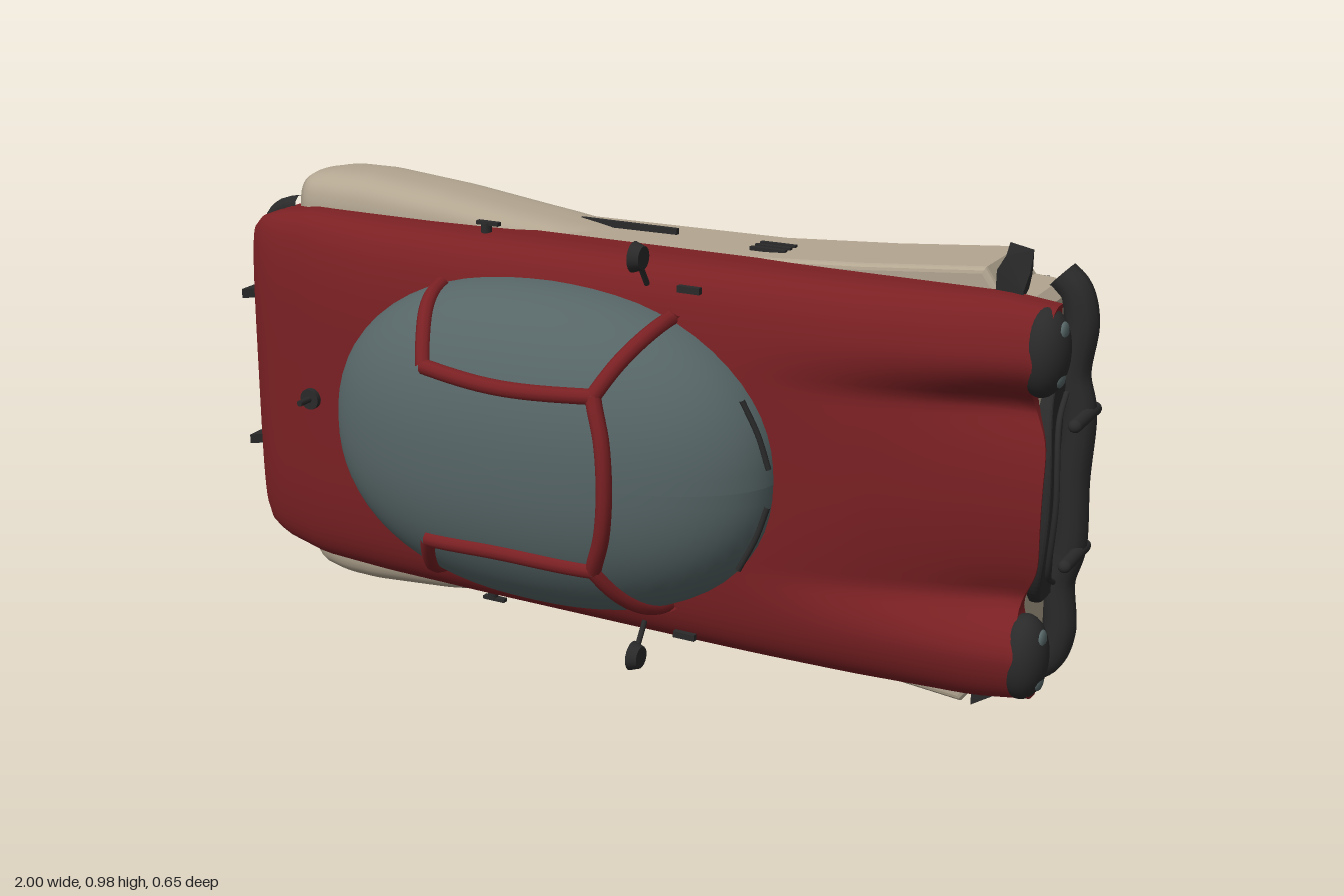
import * as THREE from 'three';

// The car lies with its nose to +x, its roof to +z and its width along y.
const mat = (name, color) => Object.assign(new THREE.MeshStandardMaterial({ color }), { name });
const RED = mat('red paint', 0x7a2023), BEIGE = mat('beige paint', 0xb3a691);
const DARK = mat('dark trim', 0x2a2a2a), GLASS = mat('tinted glass', 0x566566);
const V = (x, y, z) => new THREE.Vector3(x, y, z);

export function createModel() {
  const car = new THREE.Group();
  car.name = 'car';
  car.position.y = 0.49;
  const sides = [1, -1];

  const add = (name, geo, m, pos = [0, 0, 0], scale = [1, 1, 1]) => {
    const o = new THREE.Mesh(geo, m);
    o.name = name;
    o.position.set(...pos);
    o.scale.set(...scale);
    car.add(o);
  };
  // piecewise interpolation in a short table of [x, value]
  const at = (table, x) => {
    for (let i = 1; i < table.length; i++) {
      const [a, p] = table[i - 1], [b, q] = table[i];
      if (x <= b) return p + (q - p) * Math.max(0, (x - a) / (b - a));
    }
    return table[table.length - 1][1];
  };
  const smooth = THREE.MathUtils.smoothstep;
  const shape2 = pts => new THREE.Shape(pts.map(p => new THREE.Vector2(...p)));
  // surface through rows of points
  const loft = rows => {
    const n = rows[0].length, idx = [];
    for (let i = 0; i < rows.length - 1; i++) for (let j = 0; j < n - 1; j++) {
      const a = i * n + j, b = a + n;
      idx.push(a, b, a + 1, b, b + 1, a + 1);
    }
    const g = new THREE.BufferGeometry().setFromPoints(rows.flat());
    g.setIndex(idx);
    g.computeVertexNormals();
    return g;
  };
  const tube = (pts, r, seg = 40) => new THREE.TubeGeometry(new THREE.CatmullRomCurve3(pts.map(p => V(...p))), seg, r, 10);
  // plan outline given for +y, mirrored and extruded upwards
  const planBlock = (half, z0, z1, bevel) => {
    const g = new THREE.ExtrudeGeometry(shape2([...half, ...half.map(([x, y]) => [x, -y]).reverse()]), {
      depth: z1 - z0 - 2 * bevel, bevelEnabled: true, bevelSize: bevel, bevelThickness: bevel, bevelSegments: 3,
    });
    return g.translate(0, 0, z0 + bevel);
  };

  // upper body shell with fender humps and a sunken hood
  const width = [[-0.95, 0.35], [-0.93, 0.372], [-0.87, 0.395], [-0.75, 0.415], [0.3, 0.418], [0.85, 0.418], [0.96, 0.405]];
  const height = [[-0.95, -0.03], [-0.935, -0.005], [-0.87, 0.035], [-0.72, 0.075], [-0.55, 0.1], [-0.3, 0.108], [0.1, 0.108],
    [0.4, 0.103], [0.6, 0.093], [0.8, 0.065], [0.9, 0.047], [0.96, 0.035]];
  const BASE = -0.063;
  const top = (x, w) => {
    const T = at(height, x), k = smooth(x, 0.32, 0.98);
    const a = Math.abs(w);
    const hood = T - 0.05 - 0.045 * (a / 0.23) ** 2;
    const fender = T - 0.07 * Math.min(1.6, ((a - 0.315) / 0.1) ** 2) * (a < 0.315 ? 1 : 0.2);
    const nose = Math.log(Math.exp(hood * 80) + Math.exp(fender * 80)) / 80;
    return Math.max(T + (nose - T) * k, BASE + 0.005);
  };
  const shell = [];
  for (let i = 0; i <= 60; i++) {
    const x = -0.95 + 1.91 * i / 60, W = at(width, x), row = [];
    for (let j = 0; j <= 72; j++) {
      const f = Math.sin((j / 36 - 1) * Math.PI / 2);
      const e = Math.max(0, 1 - f ** 4) ** 0.25;
      // the nose is set back between grille and headlights
      const back = 0.035 * Math.exp(-(((Math.abs(f * W) - 0.215) / 0.06) ** 2)) * smooth(x, 0.7, 0.96);
      row.push(V(x - back, f * W, BASE + (top(x, f * W) - BASE) * e));
    }
    shell.push(row);
  }
  const flat = row => row.map(p => V(p.x, p.y, BASE));
  add('upperBody', loft(shell), RED);
  add('noseFace', loft([shell[60], flat(shell[60])]), RED);
  add('tailFace', loft([flat(shell[0]), shell[0]]), RED);

  // lower body, tail and floor
  add('lowerBody', planBlock([[-0.8, 0.395], [0.3, 0.405], [0.55, 0.422], [0.8, 0.445], [0.835, 0.395], [0.89, 0.39], [0.905, 0.375], [0.915, 0.2], [0.92, 0.05]],
    -0.27, -0.055, 0.012), BEIGE);
  add('tail', planBlock([[-0.78, 0.385], [-0.86, 0.372], [-0.89, 0.355], [-0.905, 0.32]], -0.28, -0.15, 0.015), RED);
  add('tailUpper', planBlock([[-0.78, 0.39], [-0.87, 0.378], [-0.92, 0.355], [-0.935, 0.33]], -0.18, -0.05, 0.015), RED);
  add('floor', new THREE.BoxGeometry(1.66, 0.8, 0.012), DARK, [0.035, 0, -0.272]);

  // swelling rear fender
  const fTop = [[-0.855, -0.13], [-0.84, -0.075], [-0.8, -0.045], [-0.72, -0.03], [-0.45, -0.028], [-0.25, -0.038], [-0.15, -0.06], [-0.1, -0.09], [-0.06, -0.16]];
  const fBot = [[-0.855, -0.17], [-0.83, -0.235], [-0.77, -0.268], [-0.06, -0.27]];
  const fOut = [[-0.855, 0.435], [-0.83, 0.475], [-0.75, 0.489], [-0.65, 0.49], [-0.45, 0.472], [-0.2, 0.436], [-0.06, 0.412]];
  const fRows = [];
  for (let i = 0; i <= 40; i++) {
    const x = -0.855 + 0.795 * i / 40, a = at(fTop, x), b = at(fBot, x), out = at(fOut, x), row = [];
    for (let j = 0; j <= 20; j++) {
      const t = Math.PI * j / 20, c = Math.cos(t);
      row.push(V(x, 0.34 + (out - 0.34) * Math.max(0, Math.sin(t)) ** (c > 0 ? 0.36 : 0.6), (a + b) / 2 + (a - b) / 2 * Math.sign(c) * Math.abs(c) ** 0.7));
    }
    fRows.push(row);
  }
  fRows.unshift(fRows[0].map(p => V(p.x, 0.34, p.z)));
  const fender = loft(fRows);

  // glass dome
  const domeZ = (x, w) => 0.08 + 0.245 * Math.sqrt(Math.max(0, 1 - Math.abs((x + 0.08) / 0.525) ** 2.3 - Math.abs(w / 0.352) ** 2.2));
  const dome = [];
  for (let i = 0; i <= 20; i++) {
    const r = Math.sin(i / 20 * Math.PI / 2), row = [];
    for (let j = 0; j <= 64; j++) {
      const p = j / 64 * Math.PI * 2, c = Math.cos(p), s = Math.sin(p);
      const k = r * (Math.abs(c) ** 2.3 + Math.abs(s) ** 2.2) ** (-1 / 2.25);
      const x = -0.08 + 0.525 * k * c, w = 0.352 * k * s;
      row.push(V(x, w, domeZ(x, w)));
    }
    dome.push(row);
  }
  add('glassDome', loft(dome), GLASS);

  // window frames follow the dome
  const onDome = pts => {
    const c = new THREE.CatmullRomCurve3(pts.map(([x, w]) => V(x, w, 0)));
    return tube(c.getPoints(14).map(p => [p.x, p.y, domeZ(p.x, p.y)]), 0.017);
  };
  add('windshieldFrame', onDome([[0.13, -0.185], [0.16, -0.1], [0.17, 0], [0.16, 0.1], [0.13, 0.185]]), RED);

  // dark trim band on the front fender corner, tapering toward the nose
  const band = new THREE.ExtrudeGeometry(
    shape2([[0.785, -0.262], [0.835, -0.262], [0.865, -0.15], [0.885, -0.053], [0.83, -0.053], [0.815, -0.15]]),
    { depth: 1, bevelEnabled: false }).rotateX(Math.PI / 2);
  const bp = band.attributes.position;
  for (let i = 0; i < bp.count; i++) {
    const x = bp.getX(i);
    bp.setY(i, bp.getY(i) > -0.5 ? 0.463 - Math.max(0, x - 0.82) * 0.65 : 0.36);
  }
  band.computeVertexNormals();

  for (const s of sides) {
    add('rearFender', fender, BEIGE, [0, 0, 0], [1, s, 1]);
    add('fenderTrim', band, DARK, [0, 0, 0], [1, s, 1]);
    add('roofRail', onDome([[-0.27, 0.19 * s], [-0.08, 0.178 * s], [0.13, 0.185 * s]]), RED);
    add('frontPillar', onDome([[0.13, 0.185 * s], [0.165, 0.25 * s], [0.215, 0.325 * s]]), RED);
    add('rearPillar', onDome([[-0.27, 0.19 * s], [-0.295, 0.25 * s], [-0.335, 0.318 * s]]), RED);
    add('wiper', tube([[0.39, 0.18 * s, 0.138], [0.422, 0.11 * s, 0.128], [0.444, 0.04 * s, 0.122]], 0.006, 12), DARK);
    add('cowlVent', new THREE.BoxGeometry(0.05, 0.014, 0.012), DARK, [0.245, 0.375 * s, 0.088]);

    // wheels
    for (const x of [-0.5, 0.605]) add('wheel', new THREE.CylinderGeometry(0.17, 0.17, 0.1, 36), DARK, [x, 0.327 * s, -0.16]);

    // headlight pod, lenses and indicator
    add('headlight', new THREE.SphereGeometry(1, 28, 18), DARK, [0.94, 0.315 * s, -0.032], [0.05, 0.09, 0.062]);
    for (const d of [-0.043, 0.043]) {
      add('lens', new THREE.SphereGeometry(0.022, 16, 10), GLASS, [0.976, (0.315 + d) * s, -0.028], [0.4, 1, 1]);
    }
    add('indicator', new THREE.SphereGeometry(0.018, 14, 10), RED, [0.925, 0.318 * s, -0.145]);

    // side details
    add('doorHandle', new THREE.BoxGeometry(0.24, 0.016, 0.01), DARK, [-0.04, 0.42 * s, -0.18]);
    for (const z of [-0.17, -0.145, -0.12]) add('vent', new THREE.BoxGeometry(0.08, 0.008, 0.011), DARK, [0.32, 0.422 * s, z]);
    add('sideKnob', new THREE.CylinderGeometry(0.012, 0.012, 0.03, 12), DARK, [-0.29, 0.42 * s, -0.005]);
    add('sideKnobBar', new THREE.BoxGeometry(0.055, 0.008, 0.014), DARK, [-0.285, 0.434 * s, -0.005]);
    add('mirrorArm', tube([[0.14, 0.37 * s, 0.07], [0.14, 0.4 * s, 0.09], [0.14, 0.43 * s, 0.112]], 0.006, 8), DARK);
    add('mirror', new THREE.CylinderGeometry(0.032, 0.024, 0.022, 20).rotateZ(Math.PI / 2), DARK, [0.145, 0.435 * s, 0.115]);

    // bumper guards
    add('frontGuard', new THREE.CapsuleGeometry(0.014, 0.13, 6, 12).rotateX(Math.PI / 2), DARK, [0.983, 0.147 * s, -0.19]);
    add('bumperBracket', new THREE.BoxGeometry(0.09, 0.03, 0.045), DARK, [0.9, 0.385 * s, -0.225]);
    add('rearGuard', new THREE.ExtrudeGeometry(shape2([[-1, -0.16], [-0.94, -0.13], [-0.94, -0.085], [-0.995, -0.04]]),
      { depth: 0.022, bevelEnabled: false }).rotateX(Math.PI / 2), DARK, [0, 0.18 * s + 0.011, 0]);
  }

  // swept-back grille with rounded top and inner ridge
  const grille = new THREE.Shape();
  grille.moveTo(-0.23, -0.175);
  grille.lineTo(-0.23, -0.13);
  grille.bezierCurveTo(-0.215, -0.06, -0.13, -0.025, 0, -0.025);
  grille.bezierCurveTo(0.13, -0.025, 0.215, -0.06, 0.23, -0.13);
  grille.lineTo(0.23, -0.175);
  const gGeo = new THREE.ExtrudeGeometry(grille, { depth: 0.045, bevelSize: 0.006, bevelThickness: 0.01, bevelSegments: 3, curveSegments: 20 });
  gGeo.rotateX(Math.PI / 2).rotateZ(Math.PI / 2);
  const sweep = w => -0.6 * w * w;
  const gp = gGeo.attributes.position;
  for (let i = 0; i < gp.count; i++) gp.setX(i, gp.getX(i) + sweep(gp.getY(i)));
  gGeo.computeVertexNormals();
  add('grille', gGeo, DARK, [0.92, 0, 0]);
  const ridge = [[-0.2, -0.16], [-0.16, -0.095], [0, -0.062], [0.16, -0.095], [0.2, -0.16]];
  add('grilleRidge', tube(ridge.map(([w, z]) => [0.975 + sweep(w), w, z]), 0.006), DARK);

  // bumpers
  const mirrored = half => [...half, ...half.slice(0, -1).map(([x, y, z]) => [x, -y, z]).reverse()];
  const Z = -0.225;
  add('frontBumper', tube(mirrored([[0.905, 0.418, Z], [0.935, 0.39, Z], [0.952, 0.33, Z], [0.943, 0.22, Z], [0.96, 0.147, Z], [0.957, 0, Z]]), 0.035, 80), DARK);
  add('rearBumper', tube(mirrored([[-0.85, 0.385, Z], [-0.89, 0.372, Z], [-0.92, 0.33, Z], [-0.93, 0, Z]]), 0.032, 60), DARK);
  const L = -0.11;
  add('rearLightBar', tube(mirrored([[-0.86, 0.39, L], [-0.905, 0.38, L], [-0.943, 0.34, L], [-0.952, 0, L]]), 0.026, 60), DARK);

  // knob on the rear deck
  add('deckStem', new THREE.CylinderGeometry(0.007, 0.007, 0.06, 10).rotateX(Math.PI / 2), DARK, [-0.71, 0, 0.1]);
  add('deckKnob', new THREE.CylinderGeometry(0.024, 0.024, 0.012, 16).rotateX(Math.PI / 2), DARK, [-0.71, 0, 0.088]);

  return car;
}
